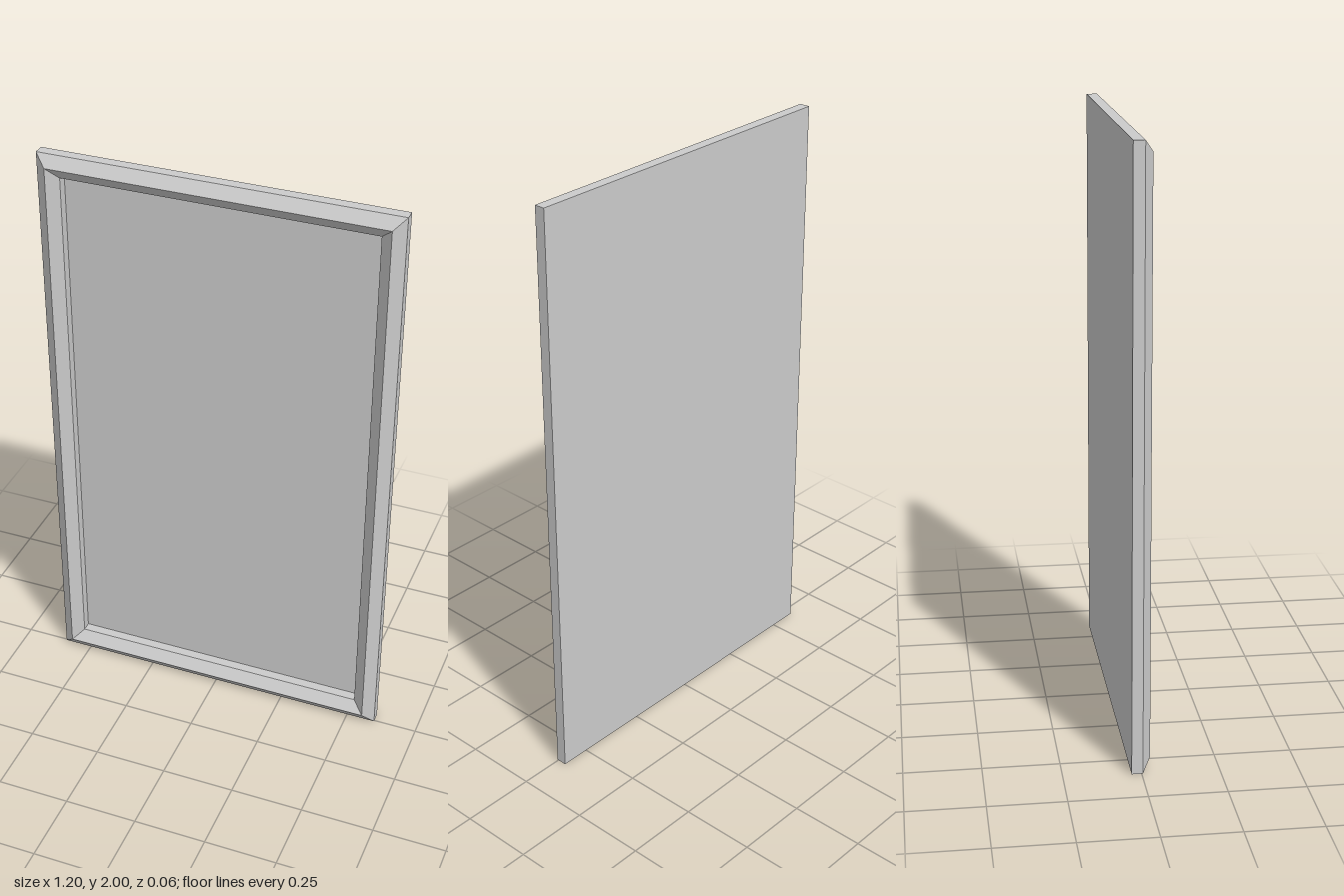
import * as THREE from 'three';

const HALF_W = 0.6, HEIGHT = 2, BACK = -0.032, FRONT = 0.032, SHOULDER = 0.004;
const RAIL = 0.077; // width of the frame moulding

// Moulding cross-section as [inset from outer edge, z]
const PROFILE = [
  [0, BACK], [0, SHOULDER], [RAIL / 2, FRONT], [RAIL, SHOULDER], [RAIL, BACK],
];

// Sweeps the moulding around the rectangle with mitred corners
function mitredFrame() {
  const corners = [[1, 0], [1, 1], [-1, 1], [-1, 0]];
  const point = (i, j) => {
    const [sx, top] = corners[i % 4];
    const [inset, z] = PROFILE[j % PROFILE.length];
    return [sx * (HALF_W - inset), top ? HEIGHT - inset : inset, z];
  };
  const positions = [];
  for (let i = 0; i < 4; i++) {
    for (let j = 0; j < PROFILE.length; j++) {
      const a = point(i, j), b = point(i + 1, j);
      const c = point(i + 1, j + 1), d = point(i, j + 1);
      positions.push(...a, ...b, ...c, ...a, ...c, ...d);
    }
  }
  const geometry = new THREE.BufferGeometry();
  geometry.setAttribute('position', new THREE.Float32BufferAttribute(positions, 3));
  geometry.computeVertexNormals();
  return geometry;
}

export function createModel() {
  const group = new THREE.Group();
  group.name = 'framedPanel';
  const material = new THREE.MeshStandardMaterial({ color: 0xcccccc, flatShading: true });

  // Bevelled frame
  const frame = new THREE.Mesh(mitredFrame(), material);
  frame.name = 'frame';

  // Thin panel set flush with the back of the frame
  const thickness = 0.003;
  const panel = new THREE.Mesh(
    new THREE.BoxGeometry(2 * (HALF_W - RAIL), HEIGHT - 2 * RAIL, thickness), material);
  panel.name = 'panel';
  panel.position.set(0, HEIGHT / 2, BACK + thickness / 2);

  group.add(frame, panel);
  return group;
}
